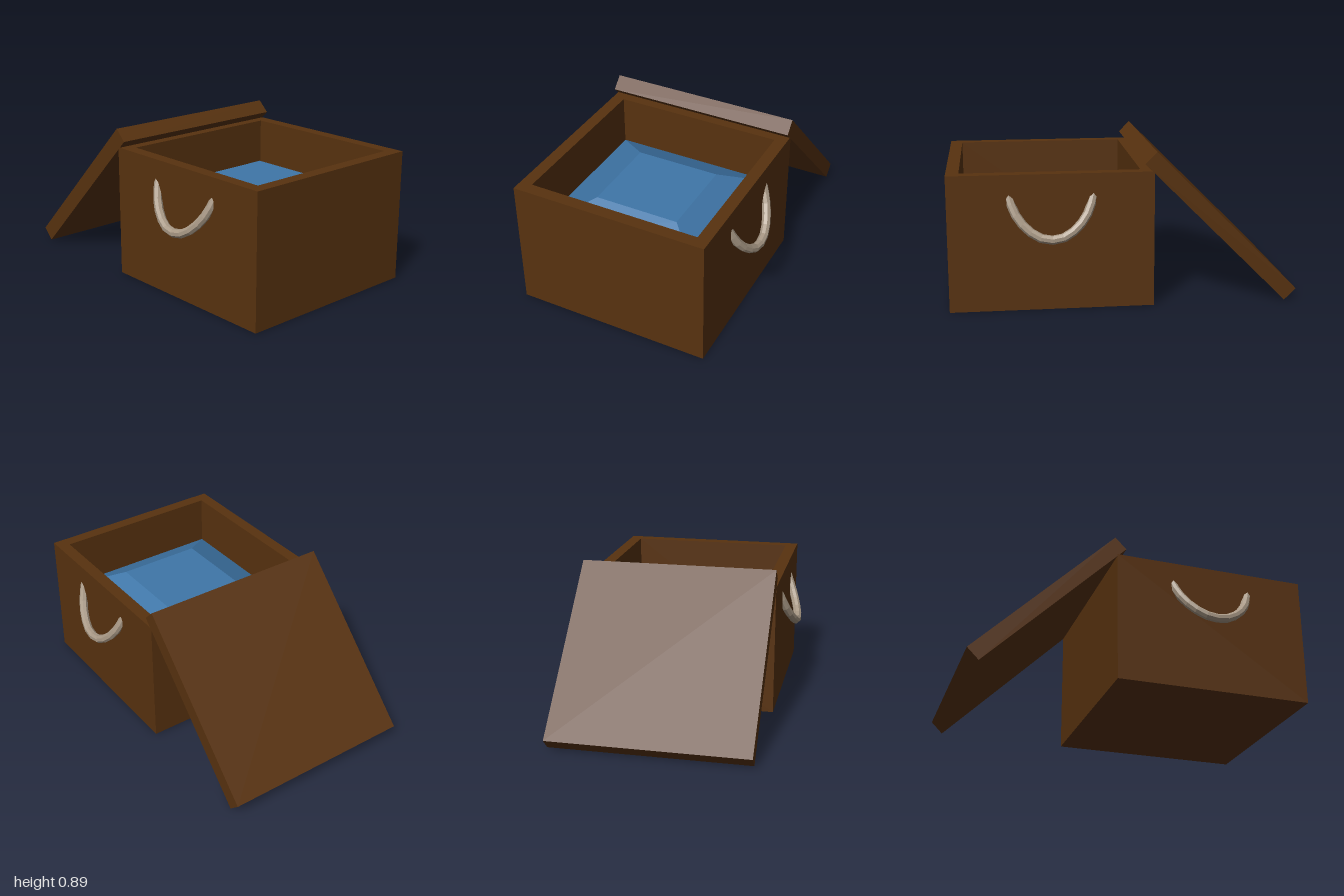
import * as THREE from 'three';

export function createModel() {
  const model = new THREE.Group();
  model.name = 'openChest';
  const material = (name, color, options = {}) => {
    const m = new THREE.MeshStandardMaterial({ color, ...options });
    m.name = name;
    return m;
  };
  const wood = material('darkWood', 0x58320f);
  const cloth = material('blueCloth', 0x3f76a8, { flatShading: true });
  const rope = material('rope', 0xa89885, { flatShading: true });

  const add = (name, geometry, mat, parent = model) => {
    const mesh = new THREE.Mesh(geometry, mat);
    mesh.name = name;
    parent.add(mesh);
    return mesh;
  };

  // Main dimensions
  const halfW = 0.585, height = 0.785, back = -0.165, front = 1;
  const wall = 0.073, midZ = (front + back) / 2;
  const innerW = 2 * (halfW - wall), innerD = front - back - 2 * wall;

  // Four walls: a rectangular ring extruded upwards
  const rect = (target, w, d) => {
    target.moveTo(-w / 2, -d / 2);
    target.lineTo(w / 2, -d / 2);
    target.lineTo(w / 2, d / 2);
    target.lineTo(-w / 2, d / 2);
    target.closePath();
    return target;
  };
  const ring = rect(new THREE.Shape(), 2 * halfW, front - back);
  ring.holes.push(rect(new THREE.Path(), innerW, innerD));
  const walls = new THREE.ExtrudeGeometry(ring, { depth: height, bevelEnabled: false });
  walls.rotateX(-Math.PI / 2);
  add('chestWalls', walls, wood).position.z = midZ;

  // Floor fitted between the walls
  add('chestFloor', new THREE.BoxGeometry(innerW, wall, innerD), wood)
    .position.set(0, wall / 2, midZ);

  // Contents: a shallow four-sided mound filling the chest
  const mound = new THREE.CylinderGeometry(0.51 / Math.SQRT2, 1.02 / Math.SQRT2, 0.135, 4);
  mound.rotateY(Math.PI / 4);
  mound.scale(innerW / 1.02, 1, innerD / 1.02);
  add('blueContents', mound, cloth).position.set(0, 0.48 + 0.0675, midZ);

  // Lid leaning back from the rear rim to the ground
  const lid = add('lid', new THREE.BoxGeometry(2 * halfW, 0.095, 1.17), wood);
  lid.rotation.x = -Math.PI / 4;
  lid.position.set(0, 0.4475, -0.5575);

  // Hanging rope handles, tilted outwards, one on each side
  const half = [[0.24, 0.265], [0.208, 0.16], [0.14, 0.065], [0.05, 0.008]];
  const points = [
    ...half.map(([z, y]) => new THREE.Vector3(0, y, z)),
    ...half.slice().reverse().map(([z, y]) => new THREE.Vector3(0, y, -z)),
  ];
  const path = new THREE.CatmullRomCurve3(points);
  for (const side of [1, -1]) {
    const handle = add(side > 0 ? 'leftHandle' : 'rightHandle',
      new THREE.TubeGeometry(path, 12, 0.026, 8), rope);
    handle.position.set(side * 0.657, 0.424, midZ);
    handle.rotation.z = side * 0.385;
  }

  return model;
}
